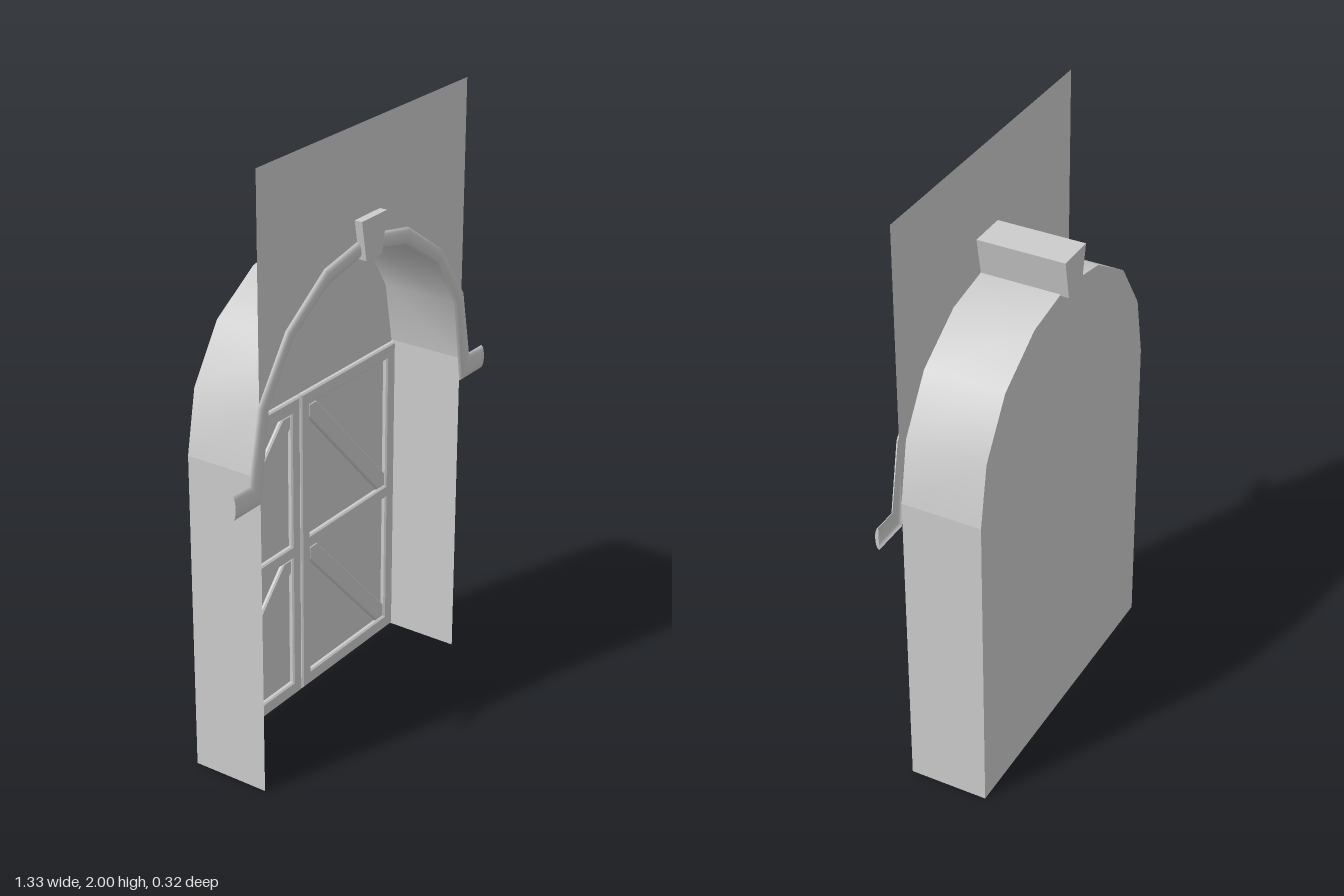
import * as THREE from 'three';
import { toCreasedNormals } from 'three/addons/utils/BufferGeometryUtils.js';

const material = new THREE.MeshStandardMaterial({ color: 0xcccccc, side: THREE.DoubleSide });
const HALF = 0.533, FRONT = 0.132, BACK = -0.132, SPRING = 1.07;

// Mirror a right-hand half polyline (ending before the centre) across x = 0
const mirror = (half, top) => [...half, [0, top], ...half.map(([x, y]) => [-x, y]).reverse()];
const arch = mirror([[HALF, SPRING], [0.495, 1.275], [0.382, 1.45], [0.205, 1.562]], 1.6);

const shapeOf = pts => new THREE.Shape(pts.map(([x, y]) => new THREE.Vector2(x, y)));

function add(parent, name, geometry, z = 0) {
  const mesh = new THREE.Mesh(geometry, material);
  mesh.name = name;
  mesh.position.z = z;
  parent.add(mesh);
  return mesh;
}

// Join equal-length rows of points into one surface
function loft(rows) {
  const n = rows[0].length, index = [];
  for (let i = 0; i < rows.length - 1; i++) {
    for (let j = 0; j < n - 1; j++) {
      const a = i * n + j, b = a + n;
      index.push(a, b, a + 1, b, b + 1, a + 1);
    }
  }
  const g = new THREE.BufferGeometry();
  g.setAttribute('position', new THREE.Float32BufferAttribute(rows.flat(2), 3));
  g.setIndex(index);
  g.computeVertexNormals();
  return g;
}

// Raised board with bevelled edges that keep the outline size
function board(shape, depth) {
  const bevel = 0.005;
  return new THREE.ExtrudeGeometry(shape, {
    depth: depth - 2 * bevel, bevelSize: bevel, bevelThickness: bevel, bevelOffset: -bevel, bevelSegments: 1,
  }).translate(0, 0, bevel);
}

const rect = (x0, y0, x1, y1) => [[x0, y0], [x1, y0], [x1, y1], [x0, y1]];

// One door leaf: frame with two openings and a diagonal brace in each; s picks the side
function doorLeaf(s) {
  const leaf = new THREE.Group();
  leaf.name = s > 0 ? 'leftDoor' : 'rightDoor';
  const flip = pts => {
    const out = pts.map(([x, y]) => [x * s, y]);
    return s > 0 ? out : out.reverse();
  };
  const x0 = 0.048, x1 = 0.48;
  const frame = shapeOf(flip(rect(0.003, 0.006, 0.528, SPRING)));
  for (const [y0, y1] of [[0.055, 0.515], [0.56, 1.022]]) {
    frame.holes.push(shapeOf(flip(rect(x0, y0, x1, y1))));
    const brace = flip([[x0, y1], [x0, y1 - 0.046], [x1 - 0.042, y0],
      [x1, y0], [x1, y0 + 0.046], [x0 + 0.042, y1]]);
    add(leaf, 'brace', board(shapeOf(brace), 0.016), BACK);
  }
  add(leaf, 'doorFrame', board(frame, 0.02), BACK);
  return leaf;
}

export function createModel() {
  const model = new THREE.Group();
  model.name = 'archedDoorway';

  // Wall above the opening
  add(model, 'frontWall', new THREE.ShapeGeometry(
    shapeOf([...arch, [-HALF, 2], [HALF, 2]])), FRONT);

  // Recess: vault, side walls and closed back
  add(model, 'vault', loft(arch.map(([x, y]) => [[x, y, BACK], [x, y, FRONT]])));
  for (const s of [1, -1]) {
    const side = new THREE.PlaneGeometry(FRONT - BACK, SPRING);
    side.rotateY(s * Math.PI / 2).translate(s * HALF, SPRING / 2, 0);
    add(model, 'sideWall', side);
  }
  add(model, 'backPanel', new THREE.ShapeGeometry(
    shapeOf([[HALF, 0], ...arch, [-HALF, 0]])), BACK);

  // Double doors at the back of the recess
  model.add(doorLeaf(1), doorLeaf(-1));

  // Rounded moulding swept round the arch, turning outward at the feet
  const outer = mirror([[0.665, 1.07], [0.585, 1.07], [0.54, 1.295], [0.405, 1.485], [0.217, 1.612]], 1.655);
  const inner = mirror([[0.665, 0.99], [0.535, 0.99], [0.492, 1.275], [0.378, 1.448], [0.2, 1.56]], 1.602);
  const steps = 8;
  const rows = outer.map(([ox, oy], i) => {
    const [ix, iy] = inner[i];
    return Array.from({ length: steps + 1 }, (_, k) => {
      const a = Math.PI * k / steps, t = (1 - Math.cos(a)) / 2;
      return [ox + (ix - ox) * t, oy + (iy - oy) * t, FRONT + 0.012 * Math.sin(a)];
    });
  });
  const flat = row => row.map(([x, y]) => [x, y, FRONT]);
  const moulding = loft([flat(rows[0]), ...rows, flat(rows[rows.length - 1])]);
  add(model, 'archMoulding', toCreasedNormals(moulding, 0.7));

  // Keystone running right through the arch
  const keystone = shapeOf([[-0.041, 1.587], [0.041, 1.587], [0.065, 1.715], [-0.065, 1.715]]);
  add(model, 'keystone', new THREE.ExtrudeGeometry(keystone, { depth: 0.316, bevelEnabled: false }), -0.158);

  return model;
}
